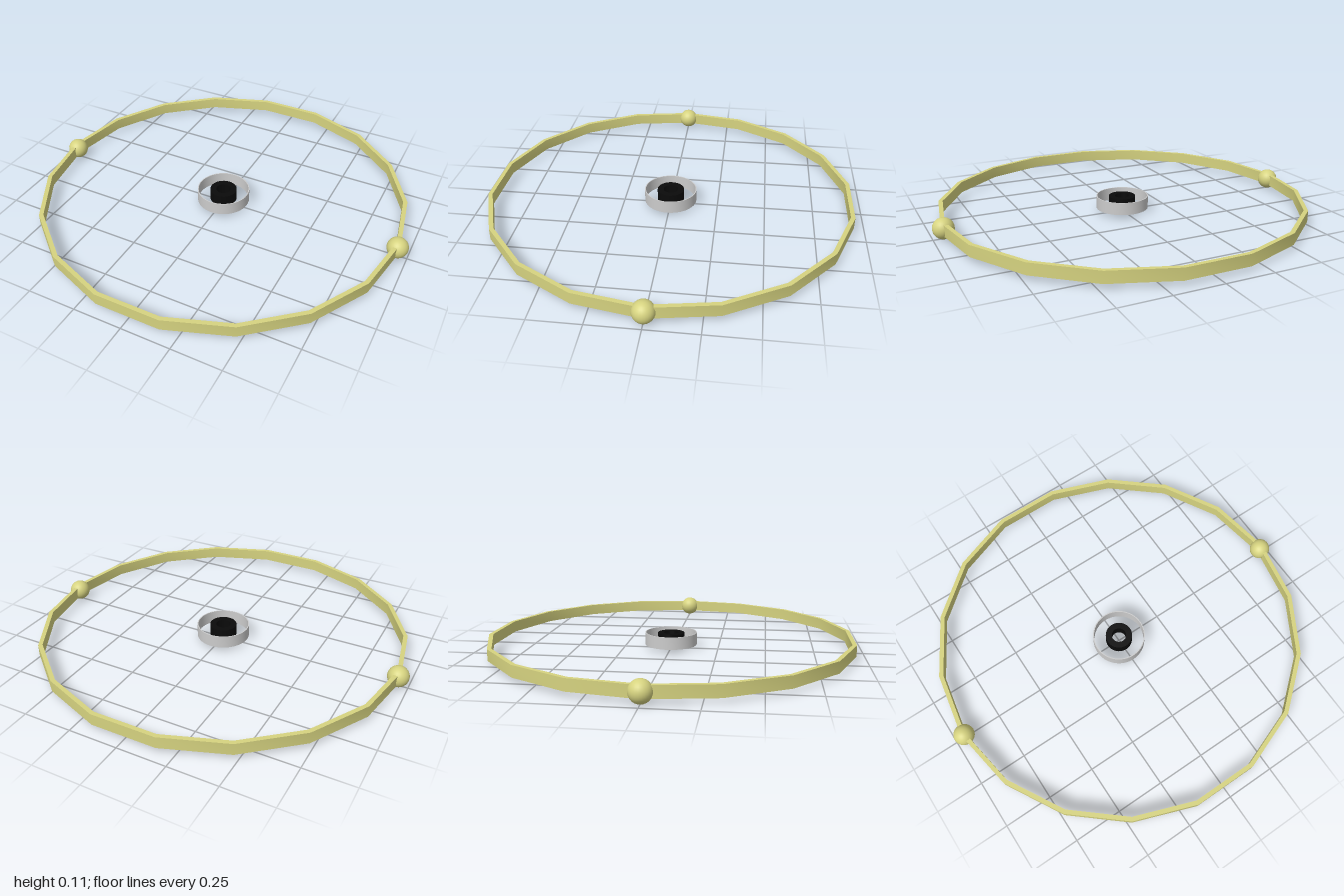
import * as THREE from 'three';
import { toCreasedNormals } from 'three/addons/utils/BufferGeometryUtils.js';

const MID = 0.0535; // height of the shared centre plane

// Rectangular-section ring, smooth round the circumference, sharp at its rims
function ring(name, outer, inner, height, sides, material) {
  const h = height / 2;
  const profile = [[outer, -h], [outer, h], [inner, h], [inner, -h], [outer, -h]]
    .map(([r, y]) => new THREE.Vector2(r, y));
  const geometry = toCreasedNormals(new THREE.LatheGeometry(profile, sides), 0.6);
  geometry.rotateY(Math.PI / 2); // a corner sits on the x axis
  const mesh = new THREE.Mesh(geometry, material);
  mesh.name = name;
  mesh.position.y = MID;
  return mesh;
}

export function createModel() {
  const brass = new THREE.MeshStandardMaterial({ name: 'pale brass', color: 0xd6d380 });
  const silver = new THREE.MeshStandardMaterial({ name: 'silver', color: 0xcccccc });
  const black = new THREE.MeshStandardMaterial({ name: 'black', color: 0x0a0a0a });

  const model = new THREE.Group();
  model.name = 'ringAssembly';

  // Large eighteen-sided hoop, with the small hub rings at its centre
  model.add(
    ring('outerHoop', 0.96, 0.938, 0.059, 18, brass),
    ring('hubBand', 0.137, 0.132, 0.065, 48, silver),
    ring('hubCore', 0.07, 0.038, 0.06, 32, black),
  );

  // Pivot balls on both sides of the hoop
  const ballGeometry = new THREE.SphereGeometry(0.0535, 24, 16);
  for (const side of [1, -1]) {
    const ball = new THREE.Mesh(ballGeometry, brass);
    ball.name = side > 0 ? 'leftPivotBall' : 'rightPivotBall';
    ball.position.set(side * 0.9465, MID, 0);
    model.add(ball);
  }
  return model;
}
